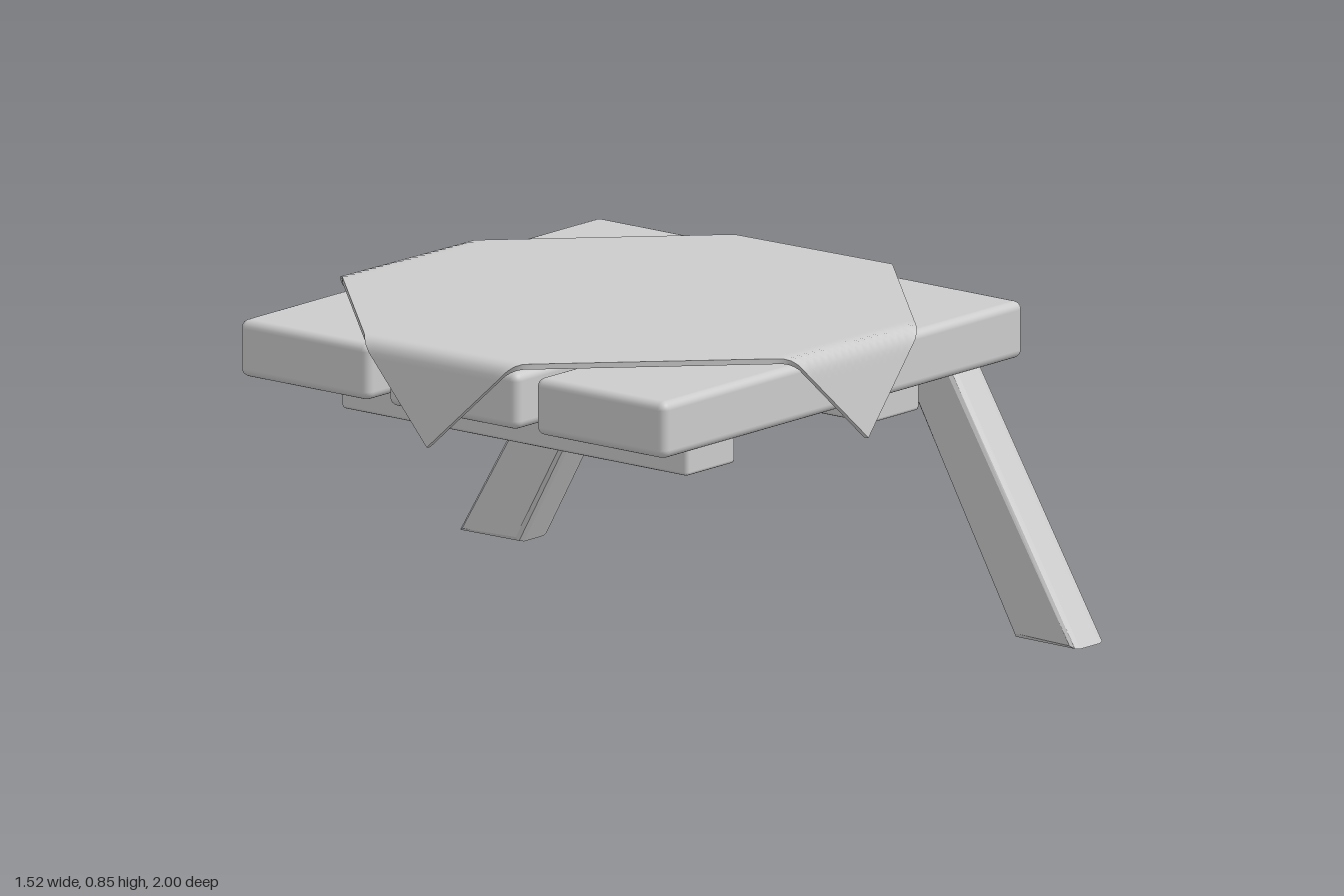
import * as THREE from 'three';
import { RoundedBoxGeometry } from 'three/addons/geometries/RoundedBoxGeometry.js';

const material = new THREE.MeshStandardMaterial({ color: 0xcccccc });

function addMesh(group, name, geometry, x = 0, y = 0, z = 0) {
  const mesh = new THREE.Mesh(geometry, material);
  mesh.name = name;
  mesh.position.set(x, y, z);
  group.add(mesh);
  return mesh;
}

// Slanted leg: a bevelled parallelogram, leaning outwards along z (side = 1 or -1)
function legGeometry(side, topX, footX) {
  const width = 0.12, bevel = 0.022, height = 0.68;
  const outline = [[0.8, 0], [1, 0], [0.6, height], [0.43, height]];
  const shape = new THREE.Shape(outline.map(([z, y]) => new THREE.Vector2(z * side, y)));
  const geometry = new THREE.ExtrudeGeometry(shape, {
    depth: width - 2 * bevel, bevelThickness: bevel, bevelSize: 0.014, bevelOffset: -0.014, bevelSegments: 2,
  });
  geometry.translate(0, 0, bevel - width / 2).rotateY(-Math.PI / 2);
  const p = geometry.attributes.position;
  for (let i = 0; i < p.count; i++) {
    p.setX(i, p.getX(i) + THREE.MathUtils.lerp(footX, topX, p.getY(i) / height));
  }
  geometry.computeVertexNormals();
  return geometry;
}

// Thin square cloth laid cornerwise, its four corners bent down over the table edges
function clothGeometry() {
  const halfDiagonal = 0.956, fold = 0.7, radius = 0.03, droop = 1.45, skew = 0.027;
  const side = halfDiagonal * Math.SQRT2;
  const geometry = new THREE.BoxGeometry(side, 0.014, side, 72, 1, 72).rotateY(Math.PI / 4);
  const p = geometry.attributes.position;
  const bend = (d, h) => {
    const excess = Math.max(0, Math.abs(d) - fold);
    const angle = Math.min(excess / radius, droop);
    const rest = excess - angle * radius;
    const out = Math.min(Math.abs(d), fold) + (radius + h) * Math.sin(angle) + rest * Math.cos(droop);
    const drop = radius * (1 - Math.cos(angle)) + rest * Math.sin(droop);
    return [Math.sign(d) * out, h * Math.cos(angle) - drop];
  };
  for (let i = 0; i < p.count; i++) {
    const x = p.getX(i), h = p.getY(i), z = p.getZ(i);
    const [bx, yx] = bend(x, h);
    const [bz, yz] = bend(z, h);
    p.setXYZ(i, bx + skew * z, yx + yz - h, bz + skew * x);
  }
  geometry.computeVertexNormals();
  return geometry;
}

export function createModel() {
  const table = new THREE.Group();
  table.name = 'table';

  // Three table top planks
  [['frontPlank', 0.47], ['middlePlank', -0.012], ['backPlank', -0.497]].forEach(([name, z]) =>
    addMesh(table, name, new RoundedBoxGeometry(1.415, 0.147, 0.424, 3, 0.022), 0, 0.7475, z));

  // Cross beams under the planks
  [['rightBeam', -0.367], ['leftBeam', 0.357]].forEach(([name, x]) =>
    addMesh(table, name, new RoundedBoxGeometry(0.192, 0.09, 1.13, 1, 0.01), x, 0.61, -0.012));

  // Legs, with a slight twist each
  addMesh(table, 'frontLeg', legGeometry(1, 0.566, 0.583));
  addMesh(table, 'backLeg', legGeometry(-1, 0.572, 0.562));

  // Tablecloth
  addMesh(table, 'tablecloth', clothGeometry(), -0.003, 0.841, -0.02);

  return table;
}
